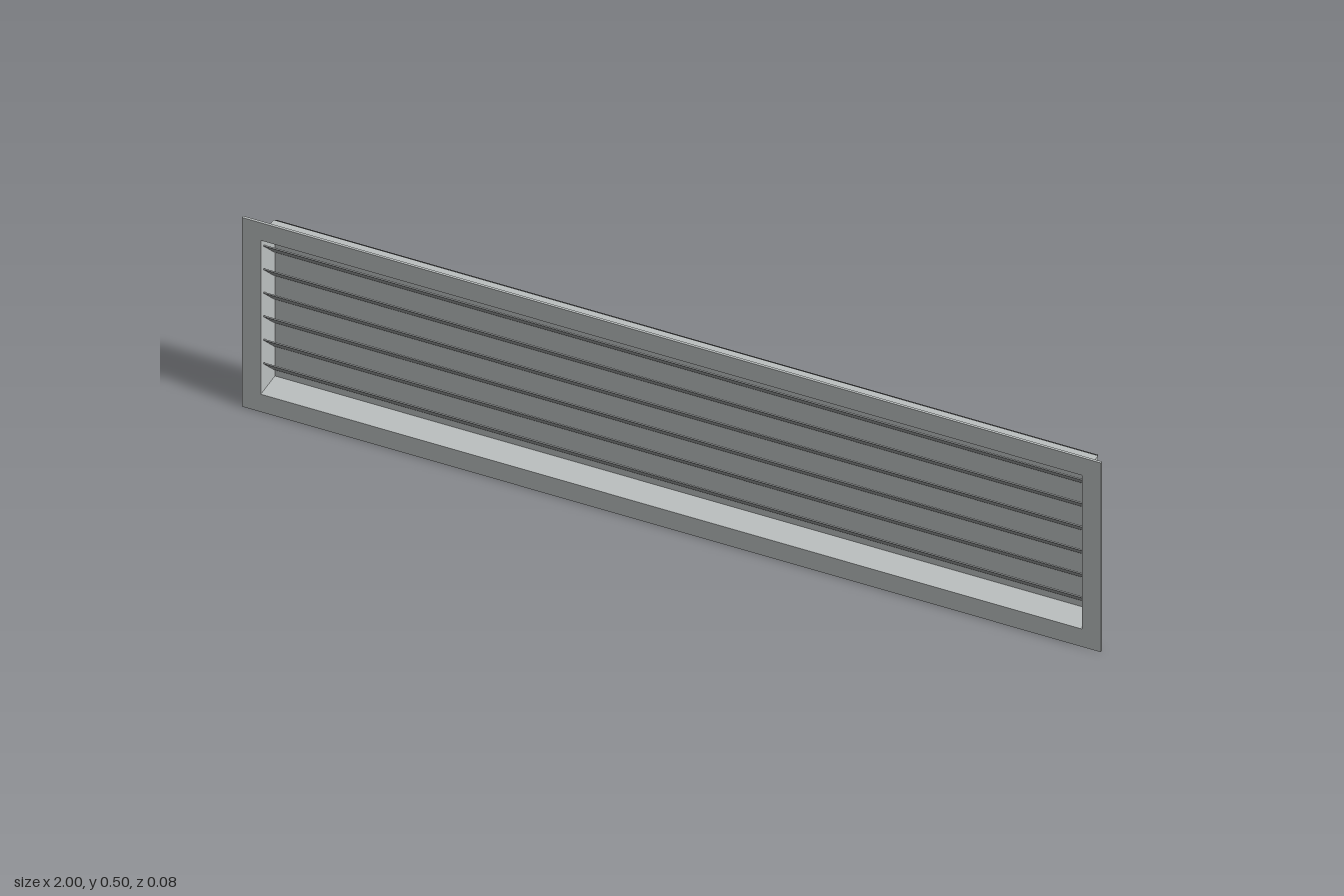
import * as THREE from 'three';

const MID_Y = 0.2515;

// Rectangular ring extruded along z from z0 to z1
function ring(w, h, innerW, innerH, z0, z1) {
  const rect = (T, a, b) => new T([
    new THREE.Vector2(-a / 2, -b / 2), new THREE.Vector2(a / 2, -b / 2),
    new THREE.Vector2(a / 2, b / 2), new THREE.Vector2(-a / 2, b / 2),
  ]);
  const shape = rect(THREE.Shape, w, h);
  shape.holes.push(rect(THREE.Path, innerW, innerH));
  return new THREE.ExtrudeGeometry(shape, { depth: z1 - z0, bevelEnabled: false })
    .translate(0, MID_Y, z0);
}

// Upright plate centred on the grille
function plate(w, h, z0, z1) {
  return new THREE.BoxGeometry(w, h, z1 - z0).translate(0, MID_Y, (z0 + z1) / 2);
}

export function createModel() {
  const group = new THREE.Group();
  const metal = new THREE.MeshStandardMaterial({ color: 0xbcc0c0 });
  metal.name = 'light grey metal';
  const slat = new THREE.MeshStandardMaterial({ color: 0xa4a7a8 });
  slat.name = 'grey slat metal';
  const dark = new THREE.MeshStandardMaterial({ color: 0x363636 });
  dark.name = 'dark backing';

  const add = (name, geometry, material) => {
    const mesh = new THREE.Mesh(geometry, material);
    mesh.name = name;
    group.add(mesh);
    return mesh;
  };

  // Front flange, shallow duct collar and its closed back
  add('frontFlange', ring(2, 0.503, 1.912, 0.409, 0.033, 0.039), metal);
  add('ductCollar', ring(1.92, 0.416, 1.912, 0.409, -0.033, 0.033), metal);
  add('innerBackPlate', plate(1.912, 0.409, -0.033, -0.031), metal);

  // Dark panel just behind the collar
  add('backPanel', plate(1.914, 0.41, -0.039, -0.036), dark);

  // Six slats, top edge leaning to the front
  const slatGeometry = new THREE.BoxGeometry(1.911, 0.074, 0.003);
  for (let i = 0; i < 6; i++) {
    const blade = add('slat' + (i + 1), slatGeometry, slat);
    blade.position.set(0, MID_Y + (i - 2.5) * 0.0626, 0);
    blade.rotation.x = Math.PI / 4;
  }
  return group;
}
